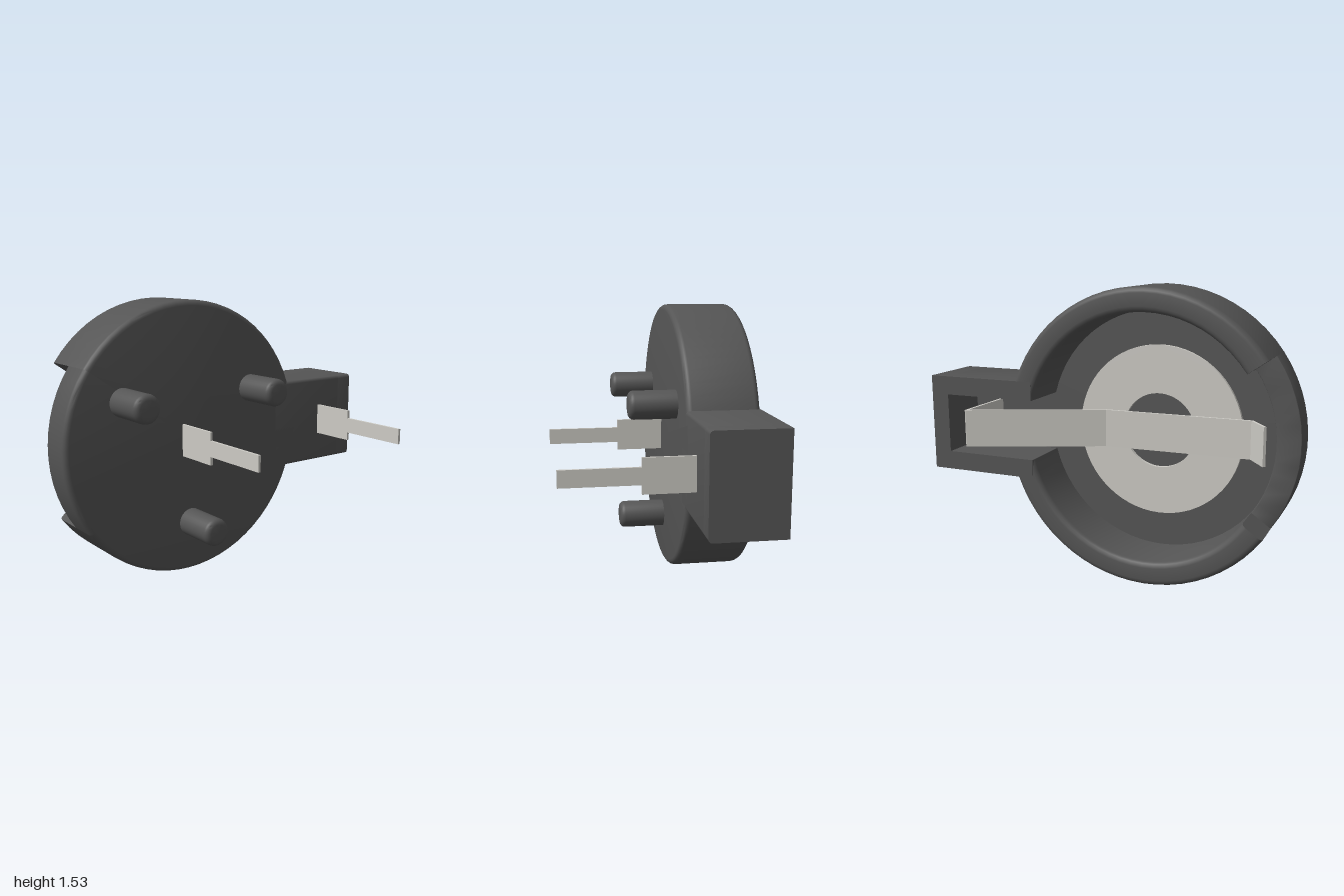
import * as THREE from 'three';
import { toCreasedNormals } from 'three/addons/utils/BufferGeometryUtils.js';

const CX = -0.235, CY = 0.77, R = 0.765, RI = 0.64;
const FRONT = -0.1, FLOOR = -0.2, BACK = -0.485, LOW = -0.29;
const HALF = 0.26, SLOT = 0.16;

export function createModel() {
  const model = new THREE.Group();
  const plastic = new THREE.MeshStandardMaterial({ color: 0x555555, side: THREE.DoubleSide });
  const metal = new THREE.MeshStandardMaterial({ color: 0xcccac4 });

  const add = (name, geometry, material, x = 0, y = 0, z = 0) => {
    const mesh = new THREE.Mesh(geometry, material);
    mesh.name = name;
    mesh.position.set(x, y, z);
    model.add(mesh);
    return mesh;
  };

  // Quarter-round corner points in a (radius, z) profile
  const corner = (r, z, f, start) => Array.from({ length: 5 }, (_, i) => {
    const a = start + (i / 4) * Math.PI / 2;
    return new THREE.Vector2(r + f * Math.cos(a), z + f * Math.sin(a));
  });

  // Cross-section of the round tray: floor plus a wall reaching back to z = top
  const trayProfile = (top, f) => [
    new THREE.Vector2(0, FLOOR),
    new THREE.Vector2(RI, FLOOR),
    ...corner(RI + f, top + f, f, Math.PI),
    ...corner(R - f, top + f, f, Math.PI * 1.5),
    ...corner(R - 0.03, FRONT - 0.03, 0.03, 0),
    new THREE.Vector2(0, FRONT),
  ];

  // Sweep a profile round the z axis between two angles, closing both ends
  const sector = (name, profile, from, to, caps) => {
    const segments = Math.ceil((to - from) / (Math.PI / 32));
    const sweep = new THREE.LatheGeometry(profile, segments, from + Math.PI / 2, to - from);
    sweep.rotateX(Math.PI / 2);
    add(name, toCreasedNormals(sweep, 0.6), plastic, CX, CY, 0);
    if (!caps) return;
    for (const angle of [from, to]) {
      const cap = new THREE.ShapeGeometry(new THREE.Shape(profile));
      cap.rotateX(Math.PI / 2).rotateZ(angle);
      add(name + 'End', cap, plastic, CX, CY, 0);
    }
  };

  // Round tray: two high walls, a low wall at the notch, an open slot to the arm
  const slotAngle = Math.asin(SLOT / RI);
  const notchAngle = Math.PI - 0.61;
  const high = trayProfile(BACK, 0.03);
  sector('upperWall', high, slotAngle, notchAngle, true);
  sector('lowerWall', high, 2 * Math.PI - notchAngle, 2 * Math.PI - slotAngle, true);
  sector('notchWall', trayProfile(LOW, 0.005), notchAngle, 2 * Math.PI - notchAngle, false);
  sector('slotFloor', [[0, FLOOR], [R, FLOOR], [R, FRONT], [0, FRONT]]
    .map(([r, z]) => new THREE.Vector2(r, z)), -slotAngle, slotAngle, false);

  // Side arm: channel and end block, cross-sections in (y, z) extruded along x
  const armPart = (name, x0, x1, hollow) => {
    const points = [[-HALF, BACK]];
    if (hollow) points.push([-SLOT, BACK], [-SLOT, FLOOR], [SLOT, FLOOR], [SLOT, BACK]);
    points.push([HALF, BACK]);
    const f = 0.02;
    const shape = new THREE.Shape([
      ...points.map(([y, z]) => new THREE.Vector2(y, z)),
      ...corner(HALF - f, FRONT - f, f, 0),
      ...corner(-HALF + f, FRONT - f, f, Math.PI / 2),
    ]);
    const geometry = new THREE.ExtrudeGeometry(shape, { depth: x1 - x0, bevelEnabled: false });
    geometry.applyMatrix4(new THREE.Matrix4().makeBasis(
      new THREE.Vector3(0, 1, 0), new THREE.Vector3(0, 0, 1), new THREE.Vector3(1, 0, 0)));
    add(name, toCreasedNormals(geometry, 0.6), plastic, x0, CY, 0);
  };
  armPart('armChannel', 0.385, 0.9, true);
  armPart('armEnd', 0.9, 1, false);

  // Three locating posts with rounded tips
  const post = new THREE.LatheGeometry([
    new THREE.Vector2(0.078, FRONT - 0.05),
    ...corner(0.048, 0.13, 0.03, 0),
    new THREE.Vector2(0, 0.16),
  ], 32);
  post.rotateX(Math.PI / 2);
  const postGeometry = toCreasedNormals(post, 0.6);
  for (const [x, y] of [[-0.655, 1.02], [0.185, 1.02], [CX, 0.29]]) {
    add('locatingPost', postGeometry, plastic, x, y, 0);
  }

  // Flat contact ring on the tray floor
  const ring = new THREE.Shape().absarc(0, 0, 0.455, 0, Math.PI * 2);
  ring.holes.push(new THREE.Path().absarc(0, 0, 0.2, 0, Math.PI * 2, true));
  const ringGeometry = new THREE.ExtrudeGeometry(ring, { depth: 0.025, bevelEnabled: false, curveSegments: 32 });
  add('contactRing', toCreasedNormals(ringGeometry, 0.6), metal, CX, CY, FLOOR - 0.02);

  // Sheet-metal strip between two (x, z) points
  const strip = (name, [x0, z0], [x1, z1], width) => {
    const length = Math.hypot(x1 - x0, z1 - z0);
    const mesh = add(name, new THREE.BoxGeometry(length + 0.008, width, 0.015), metal,
      (x0 + x1) / 2, CY, (z0 + z1) / 2);
    mesh.rotation.y = -Math.atan2(z1 - z0, x1 - x0);
  };

  // Spring contact: upright in the slot, sloping blade, flat blade, turned-up tip
  const path = [[0.735, -0.14], [0.735, -0.56], [0.05, -0.268], [-0.74, -0.245], [-0.83, -0.36]];
  const names = ['springUpright', 'springSlope', 'springBlade', 'springTip'];
  names.forEach((name, i) => strip(name, path[i], path[i + 1], 0.2));

  // Stepped solder pins
  for (const x of [-0.28, 0.735]) {
    strip('pinShoulder', [x, -0.19], [x, 0.16], 0.18);
    strip('pinTip', [x, 0.16], [x, 0.56], 0.087);
  }
  return model;
}
